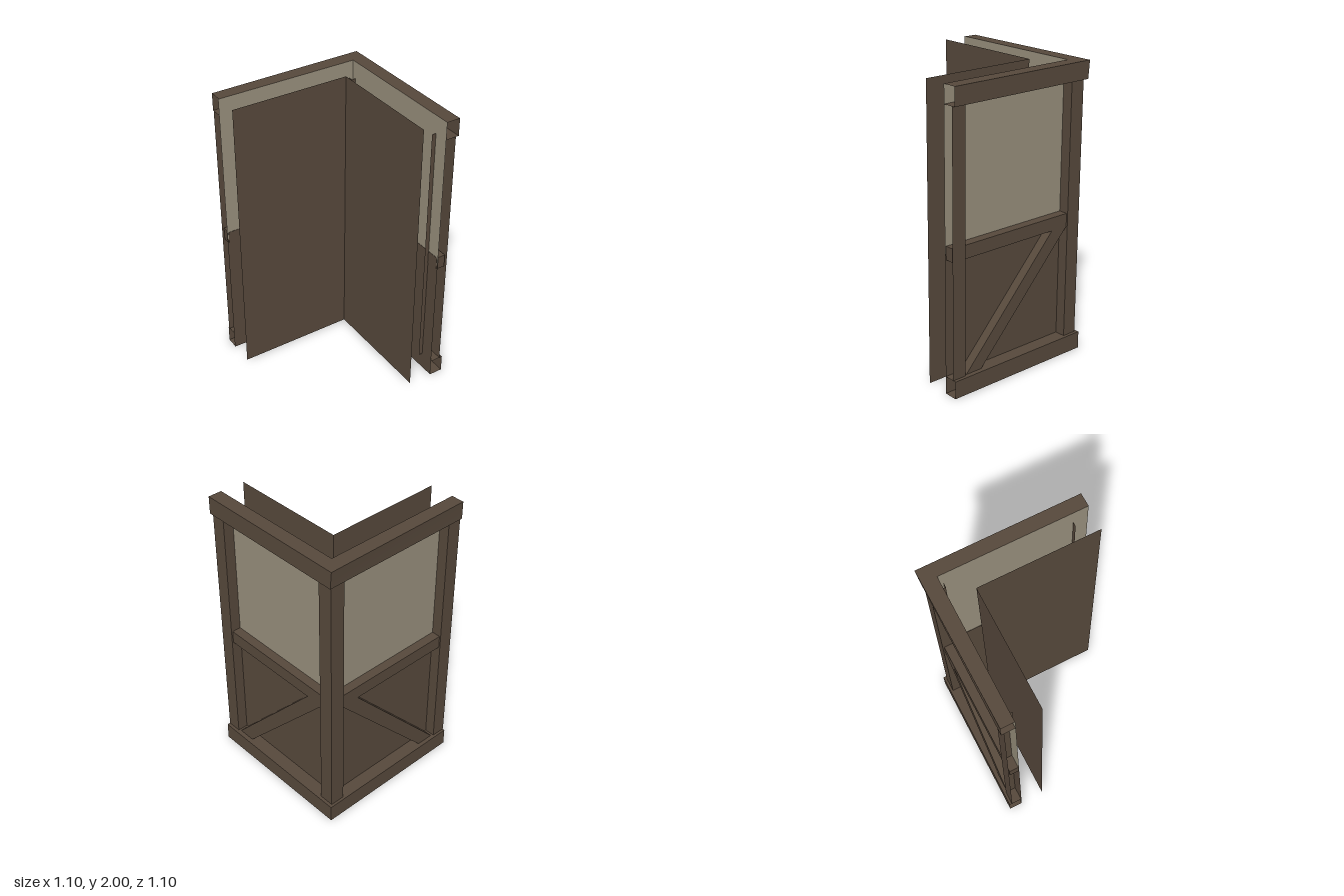
import * as THREE from 'three';

const timber = new THREE.MeshStandardMaterial({ color: 0x57493c, side: THREE.DoubleSide });
timber.name = 'dark timber';
const plaster = new THREE.MeshStandardMaterial({ color: 0x99907d, side: THREE.DoubleSide });
plaster.name = 'plaster';

const END = 0.55, WALL = 0.45, BEAM = 0.545, POST = 0.523, RAIL = 0.513, LINING = 0.28;

function add(parent, name, geometry, material) {
  const mesh = new THREE.Mesh(geometry, material);
  mesh.name = name;
  parent.add(mesh);
  return mesh;
}

// Flat four-cornered face
function quad(a, b, c, d) {
  const g = new THREE.BufferGeometry();
  g.setAttribute('position', new THREE.Float32BufferAttribute([...a, ...b, ...c, ...d], 3));
  g.setIndex([0, 1, 2, 0, 2, 3]);
  g.computeVertexNormals();
  return g;
}

// One wall along z on the +x side; s = -1 flips it along its length
function createWall(s) {
  const wall = new THREE.Group();
  const along = (x, u0, u1, y0, y1) =>
    quad([x, y0, s * u0], [x, y0, s * u1], [x, y1, s * u1], [x, y1, s * u0]);
  const across = (u, x0, x1, y0, y1) =>
    quad([x0, y0, s * u], [x1, y0, s * u], [x1, y1, s * u], [x0, y1, s * u]);

  // Infill and inner lining
  add(wall, 'plasterPanel', along(WALL, END, -WALL, 0.95, 2), plaster);
  add(wall, 'lowerPanel', along(WALL, END, -WALL, 0, 0.95), timber);
  add(wall, 'innerLining', along(LINING, BEAM, -LINING, 0, 2), timber);

  // Posts, open at the wall end
  add(wall, 'endPostFace', along(POST, END, 0.45, 0.12, 1.88), timber);
  add(wall, 'endPostSide', across(0.45, 0.42, POST, 0.12, 1.88), timber);
  add(wall, 'cornerPostFace', along(POST, -0.42, -POST, 0.12, 1.88), timber);
  add(wall, 'cornerPostSide', across(-0.42, 0.42, POST, 0.12, 1.88), timber);

  // Middle rail
  const rail = add(wall, 'middleRail', new THREE.BoxGeometry(RAIL - 0.448, 0.09, 0.96), timber);
  rail.position.set((RAIL + 0.448) / 2, 0.955, s * 0.06);

  // Diagonal brace, extruded out from the panel
  const shape = new THREE.Shape(
    [[0.435, 0.12], [0.31, 0.12], [-0.42, 0.91], [-0.29, 0.91]].map(([u, y]) => new THREE.Vector2(-s * u, y)));
  const brace = new THREE.ExtrudeGeometry(shape, { depth: RAIL - WALL, bevelEnabled: false });
  brace.rotateY(Math.PI / 2).translate(WALL, 0, 0);
  add(wall, 'diagonalBrace', brace, timber);
  return wall;
}

// Hollow L-shaped beam with open ends; flare leans the back corner out at the top
function createBeam(name, y0, y1, flare) {
  const beam = new THREE.Group();
  beam.name = name;
  const plate = (y, back) => {
    const outline = [[-BEAM, WALL], [-BEAM, 0.541], [BEAM, back], [BEAM, -END], [WALL, -END], [WALL, WALL]];
    const g = new THREE.ShapeGeometry(new THREE.Shape(outline.map(([x, z]) => new THREE.Vector2(x, z))));
    return g.rotateX(-Math.PI / 2).translate(0, y, 0);
  };
  const low = 0.541, high = 0.541 + flare;
  add(beam, 'beamTop', plate(y1, high), timber);
  add(beam, 'beamUnderside', plate(y0, low), timber);
  add(beam, 'beamSideFace',
    quad([BEAM, y0, END], [BEAM, y0, -low], [BEAM, y1, -high], [BEAM, y1, END]), timber);
  add(beam, 'beamBackFace',
    quad([BEAM, y0, -low], [-BEAM, y0, -low], [-BEAM, y1, -low], [BEAM, y1, -high]), timber);
  return beam;
}

export function createModel() {
  const model = new THREE.Group();
  model.name = 'cornerWall';

  const side = createWall(1);
  side.name = 'sideWall';
  const back = createWall(-1);
  back.name = 'backWall';
  back.rotation.y = Math.PI / 2;

  model.add(side, back, createBeam('bottomBeam', 0, 0.12, 0), createBeam('topBeam', 1.88, 2, 0.01));
  return model;
}
